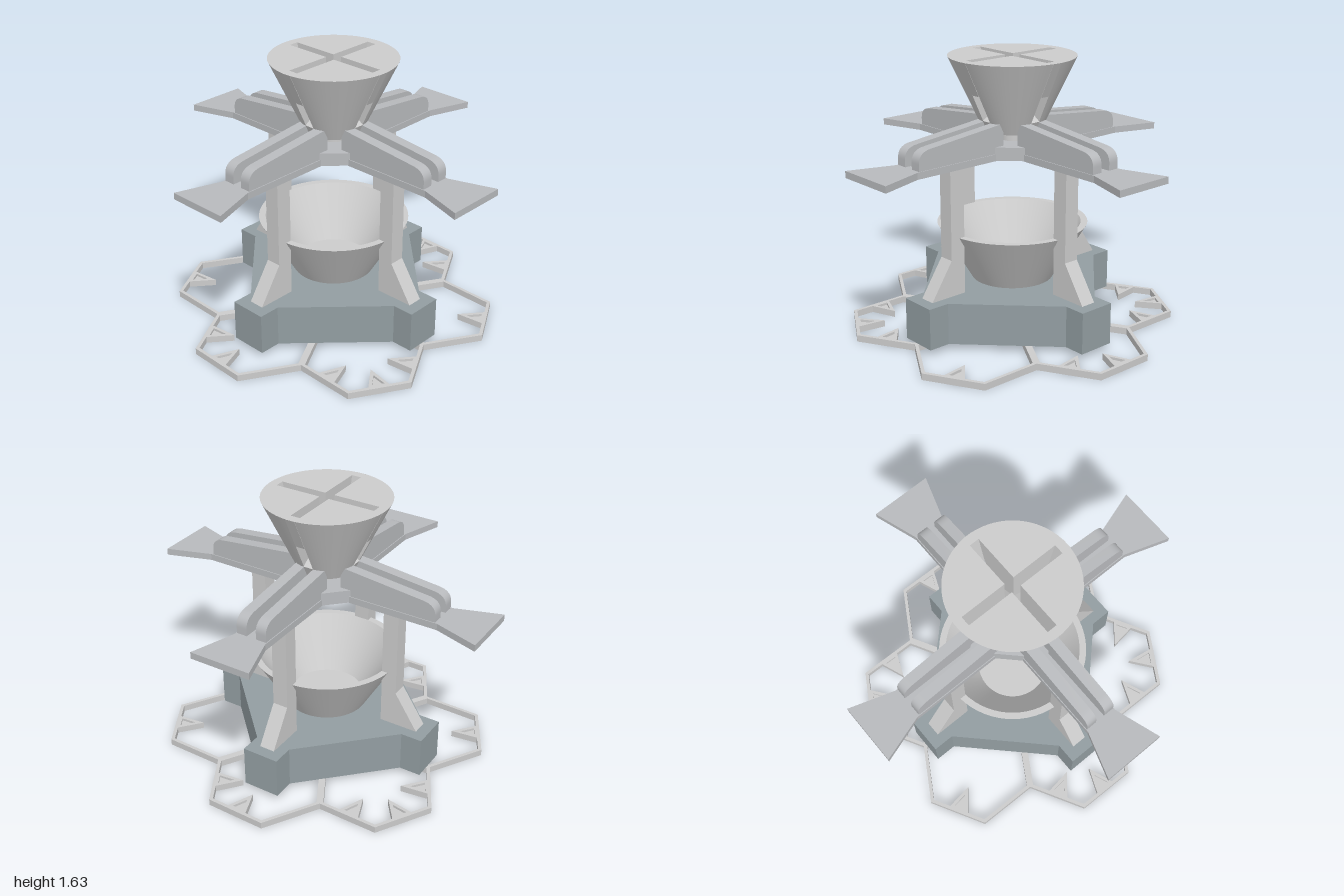
import * as THREE from 'three';
import { toCreasedNormals } from 'three/addons/utils/BufferGeometryUtils.js';

const TILT = THREE.MathUtils.degToRad(29);
const grey = new THREE.MeshStandardMaterial({ color: 0xcccccc });
const armGrey = new THREE.MeshStandardMaterial({ color: 0xb8babd });
const baseGrey = new THREE.MeshStandardMaterial({ color: 0x929da1 });
const blue = new THREE.MeshStandardMaterial({ color: 0x7585b0 });

function part(name, geometry, material = grey) {
  const mesh = new THREE.Mesh(geometry, material);
  mesh.name = name;
  return mesh;
}

function outline(points) {
  return new THREE.Shape(points.map(([x, y]) => new THREE.Vector2(x, y)));
}

// Plan outline (x, z) raised from y0 by h
function slab(shape, y0, h) {
  return new THREE.ExtrudeGeometry(shape, { depth: h, bevelEnabled: false })
    .rotateX(Math.PI / 2).translate(0, y0 + h, 0);
}

// Side outline (radius, y) given a width, centred on z
function fin(shape, width, z = 0) {
  return new THREE.ExtrudeGeometry(shape, { depth: width, bevelEnabled: false, curveSegments: 10 })
    .translate(0, 0, z - width / 2);
}

function hexagon(radius) {
  const pts = [];
  for (let i = 0; i < 6; i++) {
    const a = Math.PI / 6 + i * Math.PI / 3;
    pts.push([radius * Math.cos(a), radius * Math.sin(a)]);
  }
  return outline(pts);
}

// Ring of hexagonal frames with inward-pointing teeth
function createFrames() {
  const group = new THREE.Group();
  group.name = 'hexFrames';
  const ring = hexagon(0.64 / Math.sqrt(3));
  ring.holes.push(hexagon(0.6 / Math.sqrt(3)));
  const ringGeometry = slab(ring, 0, 0.04);
  const inner = [[0.288, -0.037], [0.288, 0.037], [0.2, 0]];
  const tooth = outline([[0.302, -0.062], [0.302, 0.062], [0.145, 0]]);
  tooth.holes.push(outline(inner));
  const toothGeometry = slab(tooth, 0, 0.04);
  const floorGeometry = slab(outline(inner), 0, 0.025);
  const teeth = [[0], [0, 60, 120], [180, 120], [180], [180, 240, 300], [0, 300]];
  teeth.forEach((edges, k) => {
    const cell = new THREE.Group();
    cell.name = 'hexCell';
    cell.position.set(0.64 * Math.cos(k * Math.PI / 3), 0, 0.64 * Math.sin(k * Math.PI / 3));
    cell.add(part('hexFrame', ringGeometry));
    for (const deg of edges) {
      const t = part('tooth', toothGeometry);
      t.add(part('toothFloor', floorGeometry));
      t.rotation.y = -THREE.MathUtils.degToRad(deg);
      cell.add(t);
    }
    group.add(cell);
  });
  group.add(part('centreFrame', ringGeometry));
  group.add(part('centreTile', slab(hexagon(0.348), 0.02, 0.02), blue));
  return group;
}

// Square base with a block at each corner
function createBase() {
  const pts = [];
  for (let i = 0; i < 4; i++) {
    const c = Math.round(Math.cos(i * Math.PI / 2)), s = Math.round(Math.sin(i * Math.PI / 2));
    for (const [r, w] of [[0.589, -0.113], [0.72, -0.113], [0.72, 0.113], [0.589, 0.113]]) {
      pts.push([r * c - w * s, r * s + w * c]);
    }
  }
  return part('base', slab(outline(pts), 0.04, 0.25), baseGrey);
}

function createBowl() {
  const profile = [[0, 0.29], [0.245, 0.29], [0.45, 0.635], [0.41, 0.635], [0.215, 0.33], [0, 0.33]];
  const geometry = new THREE.LatheGeometry(profile.map(([x, y]) => new THREE.Vector2(x, y)), 64);
  return part('bowl', toCreasedNormals(geometry.toNonIndexed(), 0.4));
}

// Tapered hopper made of four quarters, leaving a cross-shaped slot between them
function createHopper() {
  const group = new THREE.Group();
  group.name = 'hopper';
  const top = 0.375, bottom = 0.166, y0 = 1.2, h = 0.435, s = 0.03;
  const reach = r => Math.sqrt(r * r - s * s);
  const pts = [[s, s]];
  const a0 = Math.asin(s / top), a1 = Math.PI / 2 - a0;
  for (let i = 0; i <= 16; i++) {
    const a = a0 + (a1 - a0) * i / 16;
    pts.push([top * Math.cos(a), top * Math.sin(a)]);
  }
  const quarter = slab(outline(pts), y0, h);
  const p = quarter.attributes.position;
  for (let i = 0; i < p.count; i++) {
    const r = bottom + (top - bottom) * (p.getY(i) - y0) / h;
    const k = (reach(r) - s) / (reach(top) - s);
    p.setX(i, s + (p.getX(i) - s) * k);
    p.setZ(i, s + (p.getZ(i) - s) * k);
  }
  const quarterGeometry = toCreasedNormals(quarter, 0.4);
  // Slot ramp, and the wall that closes the slot above its outlet
  const ramp = fin(outline([[0, 1.2], [0.166, 1.2], [0.2, 1.27], [0, 1.4]]), 2 * s);
  const wall = fin(outline([[0.277, 1.43], [0.375, 1.635], [0.32, 1.635]]), 2 * s);
  for (let i = 0; i < 4; i++) {
    const g = new THREE.Group();
    g.name = 'hopperQuarter';
    g.rotation.y = i * Math.PI / 2;
    g.add(part('hopperWall', quarterGeometry), part('slotRamp', ramp), part('slotEnd', wall));
    group.add(g);
  }
  group.add(part('hopperStem', new THREE.CylinderGeometry(0.07, 0.07, 0.1, 32).translate(0, 1.17, 0)));
  return group;
}

// One chute arm with its two side rails and supporting post
function createArmParts() {
  const plate = slab(outline([[0, -0.1], [0.77, -0.1], [1.04, -0.188], [1.04, 0.188], [0.77, 0.1], [0, 0.1]]), 1.06, 0.04);
  const rail = new THREE.Shape();
  rail.moveTo(0.15, 1.09);
  rail.lineTo(0.755, 1.09);
  rail.lineTo(0.755, 1.14);
  rail.quadraticCurveTo(0.755, 1.205, 0.68, 1.215);
  rail.lineTo(0.17, 1.268);
  rail.lineTo(0.15, 1.22);
  const post = outline([[0.41, 0.29], [0.65, 0.29], [0.505, 0.51], [0.505, 1.06], [0.41, 1.06]]);
  return [
    ['armPlate', plate, armGrey],
    ['leftRail', toCreasedNormals(fin(rail, 0.065, 0.0625), 0.5), armGrey],
    ['rightRail', toCreasedNormals(fin(rail, 0.065, -0.0625), 0.5), armGrey],
    ['post', fin(post, 0.095), grey],
  ];
}

export function createModel() {
  const model = new THREE.Group();
  model.name = 'sorter';
  model.add(createFrames());

  const body = new THREE.Group();
  body.name = 'body';
  body.rotation.y = -TILT;
  body.add(createBase(), createBowl(), createHopper());

  // Hub joining the arms
  const hub = part('hub', new THREE.BoxGeometry(0.44, 0.078, 0.44), armGrey);
  hub.position.y = 1.101;
  hub.rotation.y = Math.PI / 4;
  body.add(hub);

  const armParts = createArmParts();
  for (let i = 0; i < 4; i++) {
    const arm = new THREE.Group();
    arm.name = 'arm';
    arm.rotation.y = i * Math.PI / 2;
    for (const [name, geometry, material] of armParts) arm.add(part(name, geometry, material));
    body.add(arm);
  }
  model.add(body);
  return model;
}
